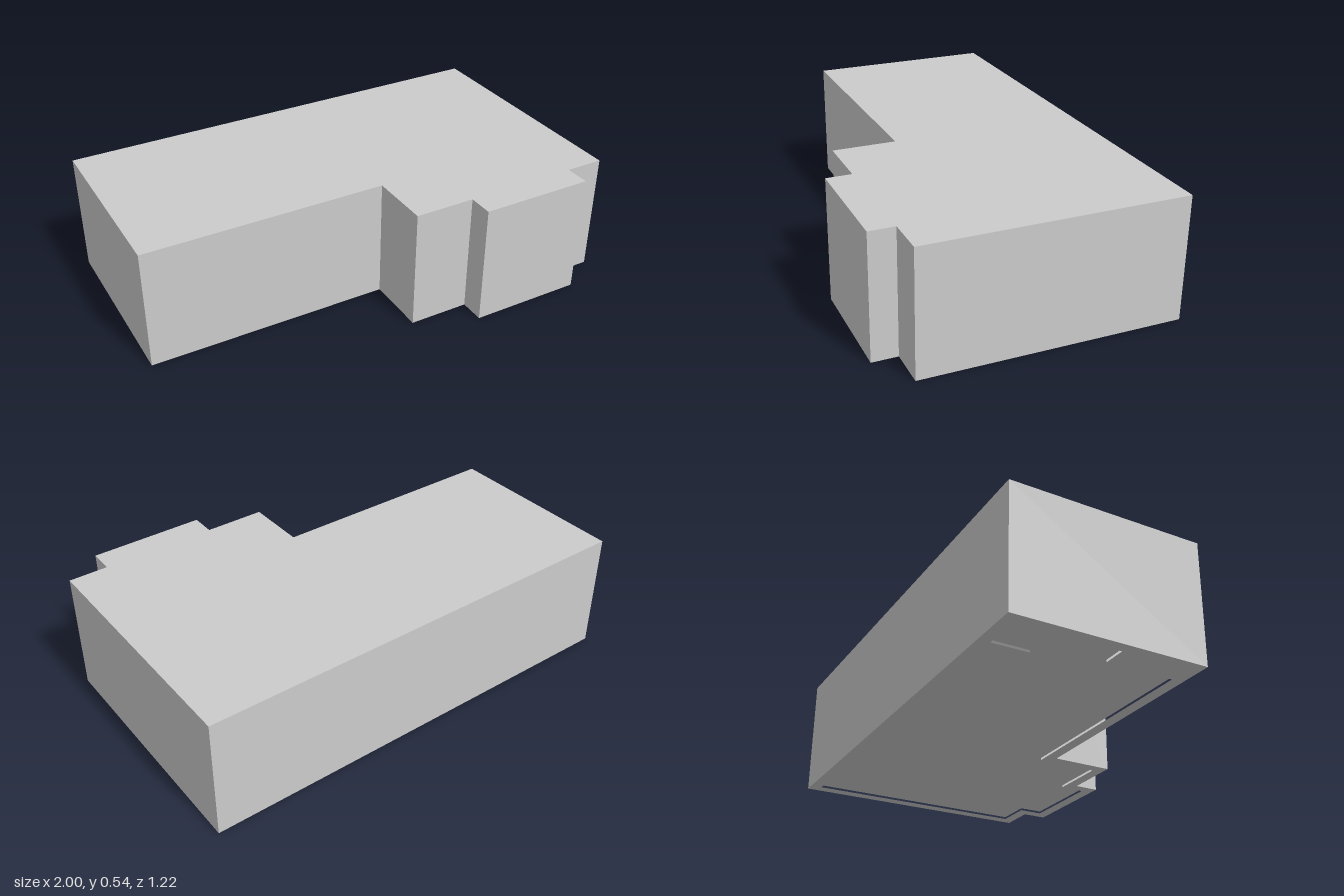
import * as THREE from 'three';

const HEIGHT = 0.535;
const SLAB = 0.02;
const FLOOR_RECESS = 0.01;

// Outer plan of the building, as [x, z]
const OUTER = [
  [-1, -0.61], [1, -0.61], [1, 0.5], [0.83, 0.5], [0.83, 0.61], [0.33, 0.61],
  [0.33, 0.5], [0.065, 0.5], [0.065, 0.225], [-1, 0.225],
];

// Inner plan, with two thickened wall sections at the back and at the side
const INNER = [
  [-0.95, -0.56], [-0.78, -0.56], [-0.78, -0.4], [-0.2, -0.4], [-0.2, -0.56],
  [0.95, -0.56], [0.95, 0.45], [0.78, 0.45], [0.78, 0.56], [0.38, 0.56],
  [0.38, 0.45], [0.115, 0.45], [0.115, 0.175], [-0.85, 0.175], [-0.85, -0.12],
  [-0.95, -0.12],
];

const toPoints = (plan) => plan.map(([x, z]) => new THREE.Vector2(x, -z));

export function createModel() {
  const group = new THREE.Group();
  const material = new THREE.MeshStandardMaterial({ color: 0xcccccc });

  // Extrudes a floor plan upwards from the given height
  const addPlan = (name, shape, bottom, height) => {
    const geometry = new THREE.ExtrudeGeometry(shape, { depth: height, bevelEnabled: false });
    geometry.rotateX(-Math.PI / 2);
    geometry.translate(0, bottom, 0);
    const mesh = new THREE.Mesh(geometry, material);
    mesh.name = name;
    group.add(mesh);
  };

  // Walls: the outer plan with the rooms cut out
  const walls = new THREE.Shape(toPoints(OUTER));
  walls.holes.push(new THREE.Path(toPoints(INNER)));
  addPlan('walls', walls, 0, HEIGHT);

  // Slightly recessed floor and a roof flush with the wall tops
  const room = new THREE.Shape(toPoints(INNER));
  addPlan('floor', room, FLOOR_RECESS, SLAB);
  addPlan('roof', room, HEIGHT - SLAB, SLAB);

  return group;
}
